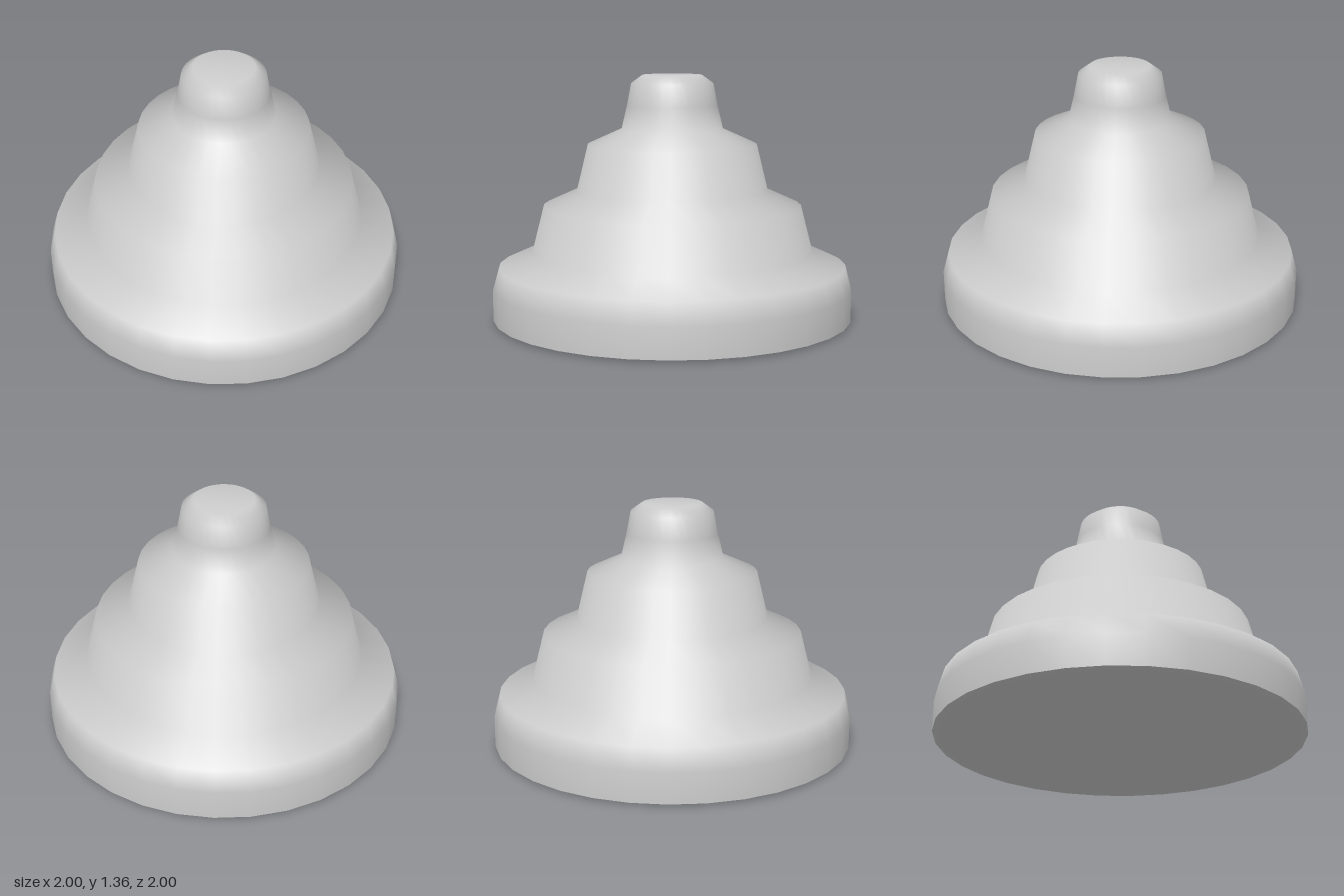
import * as THREE from 'three';

const SEGMENTS = 32;

function turned(name, profile, material) {
  const points = profile.map(([r, y]) => new THREE.Vector2(r, y));
  const mesh = new THREE.Mesh(new THREE.LatheGeometry(points, SEGMENTS), material);
  mesh.name = name;
  return mesh;
}

export function createModel() {
  const group = new THREE.Group();
  group.name = 'steppedCone';
  const material = new THREE.MeshStandardMaterial({ color: 0xcccccc });

  // Flat underside with a thin bevelled rim
  group.add(turned('underside', [[0, 0], [0.94, 0], [1, 0.012]], material));

  // Four tapering tiers, each narrower than the one below, with a capped top
  group.add(turned('tiers', [
    [1, 0.012], [1, 0.18], [0.967, 0.3],
    [0.78, 0.385], [0.716, 0.635],
    [0.53, 0.72], [0.468, 0.975],
    [0.28, 1.06], [0.25, 1.19], [0.227, 1.31],
    [0.165, 1.355], [0, 1.355],
  ], material));

  return group;
}
